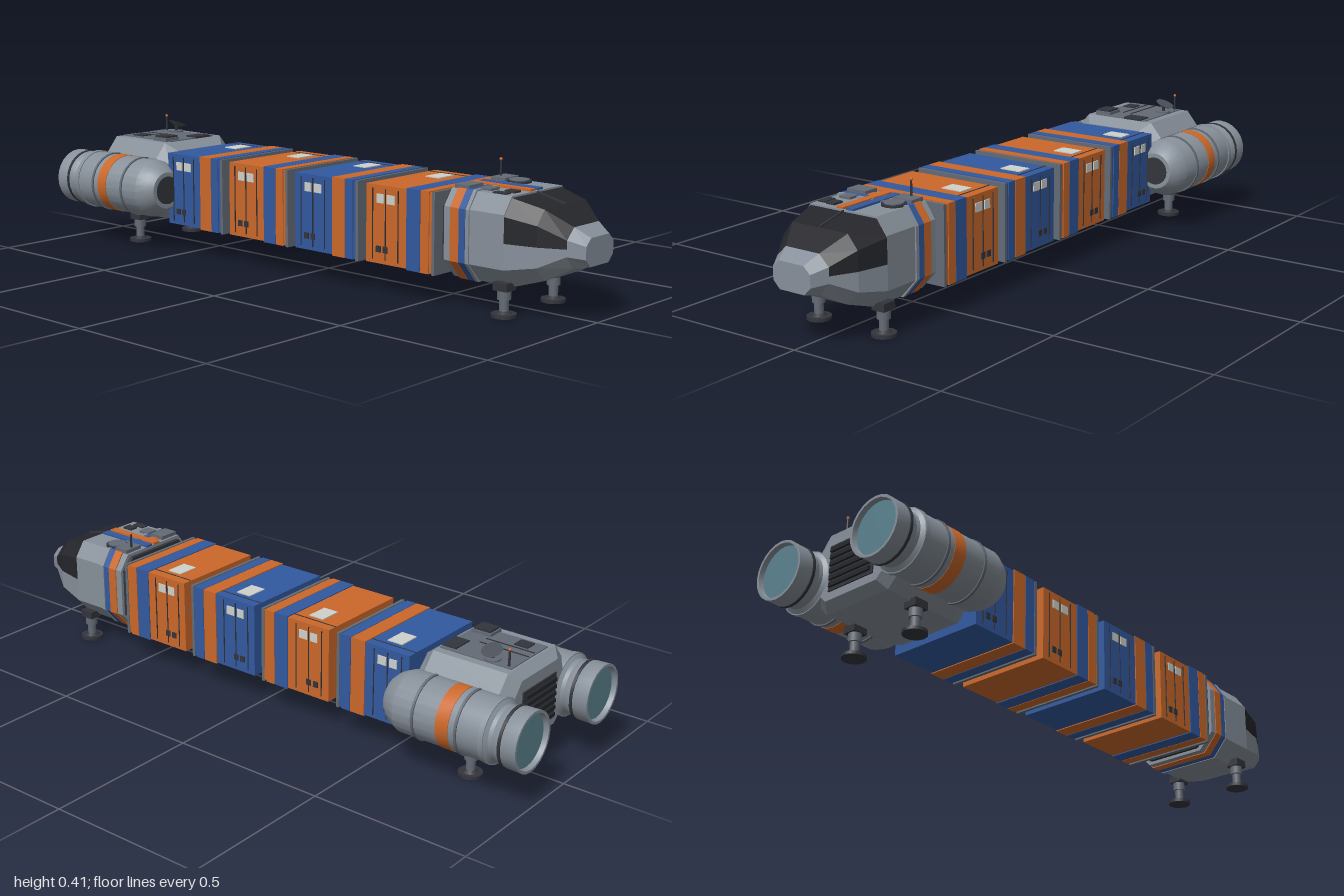
import * as THREE from 'three';
import { toCreasedNormals } from 'three/addons/utils/BufferGeometryUtils.js';

const paint = (name, color) => {
  const m = new THREE.MeshStandardMaterial({ color });
  m.name = name;
  return m;
};

export function createModel() {
  const grey = paint('hull grey', 0x87909a);
  const mid = paint('mid grey', 0x646b75);
  const dark = paint('dark grey', 0x33353c);
  const black = paint('canopy black', 0x25262b);
  const blue = paint('blue', 0x3259a0);
  const orange = paint('orange', 0xcb682a);
  const white = paint('label white', 0xcfd1cc);
  const teal = paint('engine glow teal', 0x5b8390);

  const model = new THREE.Group();
  model.name = 'cargoShip';

  const add = (parent, name, geo, mat) => {
    const mesh = new THREE.Mesh(geo, mat);
    mesh.name = name;
    parent.add(mesh);
    return mesh;
  };
  // Box given by its low and high corners
  const box = (parent, name, mat, x0, x1, y0, y1, z0, z1) => {
    const mesh = add(parent, name, new THREE.BoxGeometry(x1 - x0, y1 - y0, z1 - z0), mat);
    mesh.position.set((x0 + x1) / 2, (y0 + y1) / 2, (z0 + z1) / 2);
    return mesh;
  };
  const post = (parent, name, mat, x, y0, y1, z, rTop, rBottom = rTop, sides = 12) => {
    const mesh = add(parent, name, new THREE.CylinderGeometry(rTop, rBottom, y1 - y0, sides), mat);
    mesh.position.set(x, (y0 + y1) / 2, z);
    return mesh;
  };
  const group = (name) => {
    const g = new THREE.Group();
    g.name = name;
    model.add(g);
    return g;
  };

  // Ring: x, half width, half top, half bottom, then heights: bottom, low shoulder, waist, high shoulder, top
  const ringPoints = ([x, w, t, b, y0, y1, y2, y3, y4]) =>
    [[-w, y2], [-w, y3], [-t, y4], [t, y4], [w, y3], [w, y2], [w, y1], [b, y0], [-b, y0], [-w, y1]]
      .map(([z, y]) => [x, y, z]);
  const ALL = [0, 1, 2, 3, 4, 5, 6, 7, 8, 9], UPPER = [0, 1, 2, 3, 4], LOWER = [5, 6, 7, 8, 9];
  // Faceted hull lofted through the rings, keeping only the chosen sides
  const hull = (parent, name, mat, rings, sides = ALL, capBack = true, capFront = true) => {
    const pts = rings.map(ringPoints), v = [];
    for (let r = 0; r + 1 < pts.length; r++) for (const i of sides) {
      const j = (i + 1) % 10, a = pts[r], b = pts[r + 1];
      v.push(...a[i], ...a[j], ...b[j], ...a[i], ...b[j], ...b[i]);
    }
    const back = pts[0], front = pts[pts.length - 1];
    for (let i = 1; i < 9; i++) {
      if (capBack) v.push(...back[0], ...back[i + 1], ...back[i]);
      if (capFront) v.push(...front[0], ...front[i], ...front[i + 1]);
    }
    const geo = new THREE.BufferGeometry();
    geo.setAttribute('position', new THREE.Float32BufferAttribute(v, 3));
    geo.computeVertexNormals();
    return add(parent, name, geo, mat);
  };

  // Containers
  [-0.57, -0.281, 0.007, 0.296].forEach((x, n) => {
    const main = n % 2 ? orange : blue, accent = n % 2 ? blue : orange;
    const c = group('container' + (n + 1));
    box(c, 'containerBody', main, x, x + 0.248, 0.094, 0.328, -0.161, 0.161);
    box(c, 'containerBand', accent, x + 0.155, x + 0.205, 0.091, 0.331, -0.164, 0.164);
    box(c, 'containerEndBand', main, x + 0.207, x + 0.238, 0.091, 0.331, -0.164, 0.164);
    box(c, 'containerEndPlate', mid, x + 0.248, x + 0.258, 0.089, 0.331, -0.163, 0.163);
    box(c, 'roofLabel', white, x + 0.06, x + 0.112, 0.327, 0.331, -0.112, -0.04);
    box(c, 'roofSeam', dark, x, x + 0.155, 0.327, 0.3295, -0.131, -0.128);
    for (const s of [-1, 1]) {
      const plate = (name, mat, a, b, y0, y1) =>
        box(c, name, mat, x + a, x + b, y0, y1, s * 0.162 - 0.002, s * 0.162 + 0.002);
      plate('sideLabel', white, 0.042, 0.068, 0.275, 0.302);
      plate('sideLabel', white, 0.08, 0.11, 0.275, 0.302);
      plate('sideVent', dark, 0.04, 0.057, 0.128, 0.147);
      plate('sideVent', dark, 0.066, 0.083, 0.128, 0.147);
      for (const a of [0.025, 0.074, 0.122]) plate('doorSeam', dark, a, a + 0.002, 0.105, 0.318);
    }
  });
  // Couplings between the sections
  for (const x of [-0.6, -0.32, -0.032, 0.257, 0.545]) {
    box(model, 'coupling', mid, x, x + 0.05, 0.145, 0.275, -0.07, 0.07);
    box(model, 'couplingCollar', dark, x + 0.019, x + 0.031, 0.135, 0.285, -0.08, 0.08);
  }

  // Cockpit
  const cockpit = group('cockpit');
  const section = (x, g = 0) =>
    [x, 0.155 + g, 0.12 + g, 0.105 + g, 0.085 - g, 0.14, 0.215, 0.295, 0.343 + g];
  hull(cockpit, 'cockpitRearPlate', dark, [section(0.57, -0.01), section(0.585, -0.01)]);
  hull(cockpit, 'cockpitHull', grey, [section(0.582), section(0.79)]);
  hull(cockpit, 'orangeStripe', orange, [section(0.605, 0.003), section(0.636, 0.003)]);
  hull(cockpit, 'blueStripe', blue, [section(0.636, 0.003), section(0.658, 0.003)]);
  hull(cockpit, 'hullRib', grey, [section(0.66, 0.004), section(0.672, 0.004)]);
  const nose = [
    [0.79, 0.155, 0.12, 0.105, 0.085, 0.14, 0.215, 0.29, 0.338],
    [0.885, 0.134, 0.1, 0.092, 0.115, 0.157, 0.215, 0.274, 0.315],
    [0.955, 0.093, 0.06, 0.06, 0.155, 0.192, 0.213, 0.238, 0.27],
  ];
  hull(cockpit, 'canopy', black, nose, UPPER, false, false);
  hull(cockpit, 'lowerNose', grey, nose, LOWER, false, false);
  hull(cockpit, 'noseTip', grey, [nose[2], [1, 0.067, 0.044, 0.044, 0.163, 0.186, 0.206, 0.223, 0.244]], ALL, false);
  box(cockpit, 'roofOrangeStripe', orange, 0.582, 0.785, 0.342, 0.349, 0.002, 0.028);
  box(cockpit, 'roofBlueStripe', blue, 0.582, 0.785, 0.342, 0.349, -0.033, -0.007);
  post(cockpit, 'roofHatch', dark, 0.67, 0.34, 0.35, -0.08, 0.036, 0.036, 16);
  post(cockpit, 'roofHatchLid', mid, 0.67, 0.34, 0.353, -0.08, 0.03, 0.03, 16);
  box(cockpit, 'roofPanel', mid, 0.66, 0.7, 0.34, 0.35, 0.055, 0.095);
  box(cockpit, 'roofPanel', dark, 0.735, 0.77, 0.34, 0.349, 0.05, 0.08);
  box(cockpit, 'roofPanel', dark, 0.72, 0.765, 0.34, 0.347, 0.09, 0.115);
  box(cockpit, 'roofBox', mid, 0.59, 0.64, 0.34, 0.355, -0.118, -0.05);
  box(cockpit, 'roofBox', mid, 0.59, 0.64, 0.34, 0.355, 0.05, 0.118);
  const bar = box(cockpit, 'canopyBar', dark, 0.788, 0.887, 0.326, 0.331, -0.003, 0.003);
  bar.rotation.z = -0.24;

  // Engine section between the two engines
  const rear = group('engineSection');
  hull(rear, 'engineSectionHull', grey, [
    [-0.9, 0.13, 0.095, 0.1, 0.12, 0.15, 0.21, 0.28, 0.325],
    [-0.872, 0.165, 0.125, 0.12, 0.095, 0.14, 0.21, 0.302, 0.35],
    [-0.625, 0.165, 0.125, 0.12, 0.095, 0.14, 0.21, 0.302, 0.35],
    [-0.59, 0.14, 0.1, 0.11, 0.105, 0.14, 0.21, 0.285, 0.325],
  ]);
  for (let i = 0; i < 6; i++)
    box(rear, 'grilleSlat', black, -0.912, -0.898, 0.155 + i * 0.022, 0.167 + i * 0.022, -0.08, 0.08);
  box(rear, 'grilleBacking', dark, -0.904, -0.898, 0.145, 0.288, -0.088, 0.088);
  box(rear, 'roofDeck', mid, -0.865, -0.63, 0.348, 0.353, -0.098, 0.098);
  box(rear, 'equipmentBox', mid, -0.705, -0.64, 0.35, 0.362, 0.048, 0.106);
  box(rear, 'equipmentBoxLid', dark, -0.7, -0.645, 0.36, 0.368, 0.053, 0.101);
  box(rear, 'roofVent', dark, -0.675, -0.628, 0.35, 0.357, -0.085, -0.015);
  box(rear, 'roofVent', dark, -0.83, -0.785, 0.35, 0.357, 0.045, 0.085);
  for (const z of [-0.002, 0.03]) box(rear, 'roofSeam', dark, -0.86, -0.7, 0.351, 0.355, z, z + 0.004);
  // Dish antenna
  post(rear, 'dishBase', mid, -0.79, 0.35, 0.358, -0.075, 0.024);
  post(rear, 'dishPost', dark, -0.79, 0.355, 0.378, -0.075, 0.005);
  const bowl = paint('dish grey', 0x4a4e57);
  bowl.side = THREE.DoubleSide;
  const dish = post(rear, 'dish', bowl, -0.79, 0.369, 0.384, -0.078, 0.031, 0.005, 16);
  dish.rotation.x = -0.4;

  // Whip antennas
  for (const [x, y] of [[-0.85, 0.35], [0.6, 0.343]]) {
    post(model, 'antennaMast', dark, x, y, 0.402, -0.085, 0.003, 0.004, 6);
    const tip = add(model, 'antennaTip', new THREE.SphereGeometry(0.005, 8, 6), orange);
    tip.position.set(x, 0.403, -0.085);
  }

  // Engines, turned about the x axis
  const lathe = (parent, name, mat, points) => {
    const geo = new THREE.LatheGeometry(points.map(([x, r]) => new THREE.Vector2(r, x)), 24);
    return add(parent, name, toCreasedNormals(geo.rotateZ(-Math.PI / 2), 0.45), mat);
  };
  for (const s of [-1, 1]) {
    const engine = group(s > 0 ? 'leftEngine' : 'rightEngine');
    engine.position.set(0, 0.209, s * 0.19);
    lathe(engine, 'engineNozzle', grey,
      [[-0.984, 0.08], [-1, 0.083], [-1, 0.091], [-0.94, 0.089], [-0.92, 0.081], [-0.905, 0.083]]);
    lathe(engine, 'engineCasing', grey,
      [[-0.91, 0.08], [-0.9, 0.094], [-0.6, 0.094], [-0.565, 0.078], [-0.545, 0.06], [-0.545, 0.042]]);
    lathe(engine, 'engineGlow', teal, [[-0.985, 0], [-0.985, 0.081]]).rotation.y = 0;
    lathe(engine, 'engineIntake', dark, [[-0.547, 0.046], [-0.543, 0.046], [-0.543, 0]]);
    const band = (name, mat, a, b, r) =>
      lathe(engine, name, mat, [[a, r - 0.006], [a, r], [b, r], [b, r - 0.006]]);
    band('engineStripe', orange, -0.787, -0.745, 0.0955);
    band('engineRing', mid, -0.815, -0.807, 0.098);
    band('engineRing', mid, -0.672, -0.664, 0.098);
    band('engineRing', grey, -0.9, -0.885, 0.097);
    band('nozzleRing', dark, -0.952, -0.943, 0.092);
  }

  // Landing legs
  for (const x of [-0.765, 0.77]) for (const z of [-0.12, 0.12]) {
    const leg = group('landingLeg');
    post(leg, 'foot', dark, x, 0, 0.01, z, 0.037);
    post(leg, 'ankle', dark, x, 0.01, 0.017, z, 0.014, 0.024);
    post(leg, 'strut', mid, x, 0.01, 0.07, z, 0.014);
    post(leg, 'strutSleeve', mid, x, 0.05, 0.08, z, 0.02);
    box(leg, 'legMount', dark, x - 0.024, x + 0.024, 0.076, 0.1, z - 0.022, z + 0.022);
  }
  return model;
}
